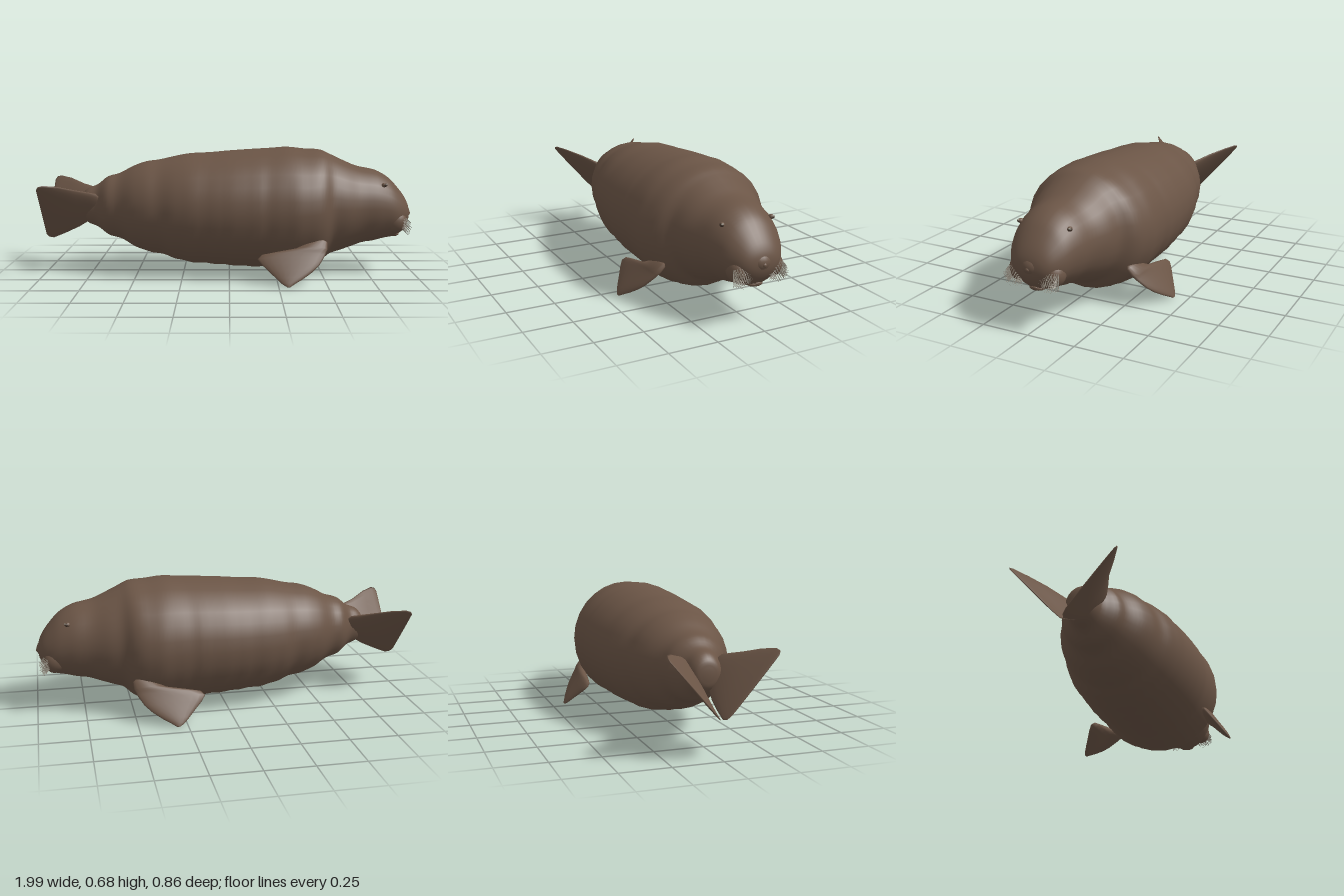
import * as THREE from 'three';
import { mergeGeometries } from 'three/addons/utils/BufferGeometryUtils.js';

const hide = new THREE.MeshStandardMaterial({ color: 0x6b5546 });
hide.name = 'brown hide';
const eyeDark = new THREE.MeshStandardMaterial({ color: 0x45362c });
eyeDark.name = 'dark eye';
const bristle = new THREE.MeshStandardMaterial({ color: 0x968f82 });
bristle.name = 'pale bristle';

function mesh(name, geometry, material) {
  const m = new THREE.Mesh(geometry, material);
  m.name = name;
  return m;
}

// Skins a list of closed rings (each an array of Vector3), capping both ends
function loft(rings, flip) {
  const n = rings[0].length, pos = [], idx = [];
  const tri = (a, b, c) => (flip ? idx.push(a, c, b) : idx.push(a, b, c));
  rings.forEach((r) => r.forEach((p) => pos.push(p.x, p.y, p.z)));
  for (let i = 0; i < rings.length - 1; i++) {
    for (let j = 0; j < n; j++) {
      const a = i * n + j, b = i * n + ((j + 1) % n);
      tri(a, b, a + n);
      tri(b, b + n, a + n);
    }
  }
  [0, rings.length - 1].forEach((i) => {
    const c = new THREE.Vector3();
    rings[i].forEach((p) => c.addScaledVector(p, 1 / n));
    const k = pos.length / 3;
    pos.push(c.x, c.y, c.z);
    for (let j = 0; j < n; j++) {
      const a = i * n + j, b = i * n + ((j + 1) % n);
      if (i === 0) tri(k, b, a);
      else tri(k, a, b);
    }
  });
  const g = new THREE.BufferGeometry();
  g.setAttribute('position', new THREE.Float32BufferAttribute(pos, 3));
  g.setIndex(idx);
  g.computeVertexNormals();
  return g;
}

// Body stations from tail to snout: x, top, bottom, half width
const BODY = [
  [-0.81, 0.38, 0.34, 0.02], [-0.8, 0.425, 0.295, 0.06], [-0.77, 0.455, 0.265, 0.08],
  [-0.72, 0.475, 0.245, 0.095], [-0.66, 0.52, 0.2, 0.15], [-0.6, 0.537, 0.183, 0.17],
  [-0.52, 0.578, 0.14, 0.22], [-0.45, 0.602, 0.11, 0.25], [-0.38, 0.612, 0.098, 0.263],
  [-0.3, 0.63, 0.073, 0.293], [-0.22, 0.645, 0.052, 0.315], [-0.1, 0.652, 0.043, 0.328],
  [0, 0.661, 0.034, 0.34], [0.15, 0.671, 0.026, 0.343], [0.22, 0.675, 0.024, 0.34],
  [0.31, 0.681, 0.013, 0.345], [0.4, 0.672, 0.022, 0.338], [0.49, 0.666, 0.05, 0.308],
  [0.55, 0.64, 0.1, 0.258], [0.62, 0.607, 0.12, 0.24], [0.69, 0.578, 0.148, 0.21],
  [0.79, 0.556, 0.17, 0.185], [0.86, 0.518, 0.185, 0.163], [0.91, 0.468, 0.2, 0.138],
  [0.95, 0.415, 0.235, 0.105], [0.97, 0.375, 0.27, 0.07], [0.98, 0.335, 0.305, 0.02],
];

function bodyGeometry() {
  const tops = new THREE.CatmullRomCurve3(BODY.map(([x, t, , w]) => new THREE.Vector3(x, t, w)));
  const lows = new THREE.CatmullRomCurve3(BODY.map(([x, , b]) => new THREE.Vector3(x, b, 0)));
  const steps = (BODY.length - 1) * 4, rings = [];
  for (let i = 0; i <= steps; i++) {
    const t = tops.getPoint(i / steps), b = lows.getPoint(i / steps);
    const cy = (t.y + b.y) / 2, ry = (t.y - b.y) / 2, ring = [];
    for (let j = 0; j < 28; j++) {
      const a = (j / 28) * Math.PI * 2;
      // Shallow skin folds, deeper towards the belly
      const fold = 1 + 0.004 * Math.sin(t.x * 58) * (1 - Math.cos(a));
      ring.push(new THREE.Vector3(t.x, cy + ry * fold * Math.cos(a), t.z * fold * Math.sin(a)));
    }
    rings.push(ring);
  }
  return loft(rings, false);
}

// Flipper rows: two edge points A and B of the blade, and its half thickness
function flipperGeometry(rows, side) {
  const mirror = new THREE.Vector3(1, 1, side);
  const last = rows[rows.length - 2];
  const chord = last[1].clone().sub(last[0]);
  const span = last[0].clone().add(last[1]).sub(rows[0][0]).sub(rows[0][1]);
  const normal = chord.cross(span).normalize();
  const rings = rows.map(([A, B, h]) => {
    const mid = A.clone().add(B).multiplyScalar(0.5);
    const half = B.clone().sub(A).multiplyScalar(0.5);
    return Array.from({ length: 20 }, (_, j) => {
      const a = (j / 20) * Math.PI * 2;
      return mid.clone().addScaledVector(half, Math.cos(a))
        .addScaledVector(normal, h * Math.sin(a)).multiply(mirror);
    });
  });
  return loft(rings, side > 0);
}

// Front flipper: distance down the blade, rear x, front x, half thickness
const FRONT = [
  [0, 0.43, 0.495, 0.012], [0.05, 0.4, 0.51, 0.024], [0.2, 0.34, 0.508, 0.027],
  [0.27, 0.24, 0.5, 0.026], [0.33, 0.165, 0.495, 0.025], [0.42, 0.145, 0.482, 0.023],
  [0.55, 0.168, 0.462, 0.02], [0.7, 0.205, 0.425, 0.017], [0.85, 0.24, 0.375, 0.013],
  [0.95, 0.265, 0.335, 0.009], [1.02, 0.29, 0.31, 0.004],
].map(([s, x0, x1, h]) => {
  const y = 0.21 - 0.205 * s, z = 0.262 + 0.163 * s;
  return [new THREE.Vector3(x0, y, z), new THREE.Vector3(x1, y, z), h];
});

// Tail flipper: upper edge x, y, z, lower edge x, y, z, half thickness
const TAIL = [
  [-0.7, 0.415, 0.09, -0.71, 0.385, 0.075, 0.008], [-0.715, 0.435, 0.11, -0.735, 0.33, 0.045, 0.018],
  [-0.75, 0.445, 0.13, -0.765, 0.28, 0.02, 0.019], [-0.82, 0.462, 0.165, -0.82, 0.245, 0.01, 0.017],
  [-0.9, 0.487, 0.225, -0.9, 0.208, 0.006, 0.013], [-0.965, 0.497, 0.265, -0.965, 0.182, 0.006, 0.008],
  [-0.99, 0.49, 0.272, -0.99, 0.188, 0.014, 0.006], [-1, 0.475, 0.265, -1, 0.205, 0.03, 0.003],
].map(([ax, ay, az, bx, by, bz, h]) => [new THREE.Vector3(ax, ay, az), new THREE.Vector3(bx, by, bz), h]);

function ellipsoid(name, x, y, z, rx, ry, rz, material) {
  const m = mesh(name, new THREE.SphereGeometry(1, 20, 14), material);
  m.scale.set(rx, ry, rz);
  m.position.set(x, y, z);
  return m;
}

// Bristles fan forward, down and outward from a whisker pad
function whiskerGeometry(side) {
  const parts = [], up = new THREE.Vector3(0, 1, 0);
  for (let i = 0; i < 10; i++) {
    for (let j = 0; j < 8; j++) {
      const u = (i + (j % 2) * 0.5) / 9.5 * 2 - 1, v = j / 7;
      const dir = new THREE.Vector3(0.75, 0.25 - v * 1.05, u * 0.95 * side).normalize();
      const root = new THREE.Vector3(0.895, 0.285, 0.095 * side)
        .add(dir.clone().multiply(new THREE.Vector3(0.06, 0.062, 0.052)));
      const aim = new THREE.Vector3(0.6, -0.65, (0.1 + u * 0.3) * side).normalize();
      const g = new THREE.ConeGeometry(0.0018, 0.046, 4);
      g.translate(0, 0.02, 0);
      g.applyQuaternion(new THREE.Quaternion().setFromUnitVectors(up, aim));
      g.translate(root.x, root.y, root.z);
      parts.push(g);
    }
  }
  return mergeGeometries(parts);
}

export function createModel() {
  const model = new THREE.Group();
  model.name = 'marineMammal';
  model.add(mesh('body', bodyGeometry(), hide));

  // Snout and mouth
  model.add(ellipsoid('nose', 0.935, 0.325, 0, 0.052, 0.052, 0.06, hide));
  model.add(ellipsoid('noseTip', 0.982, 0.318, 0, 0.009, 0.011, 0.011, hide));
  model.add(ellipsoid('lowerLip', 0.9, 0.205, 0, 0.032, 0.016, 0.042, hide));
  model.add(ellipsoid('mouth', 0.928, 0.212, 0, 0.008, 0.006, 0.016, hide));

  for (const side of [1, -1]) {
    const name = side > 0 ? 'front' : 'back';
    model.add(mesh(name + 'SideFlipper', flipperGeometry(FRONT, side), hide));
    model.add(mesh(name + 'SideTailFlipper', flipperGeometry(TAIL, side), hide));
    model.add(ellipsoid(name + 'SideWhiskerPad', 0.895, 0.285, 0.095 * side, 0.06, 0.062, 0.05, hide));
    model.add(mesh(name + 'SideWhiskers', whiskerGeometry(side), bristle));
    model.add(ellipsoid(name + 'SideEyelid', 0.823, 0.486, 0.134 * side, 0.014, 0.012, 0.012, hide));
    model.add(ellipsoid(name + 'SideEye', 0.828, 0.486, 0.138 * side, 0.011, 0.009, 0.01, eyeDark));
    model.add(ellipsoid(name + 'SideEyeGlint', 0.835, 0.491, 0.139 * side, 0.005, 0.004, 0.007, bristle));
  }
  return model;
}
